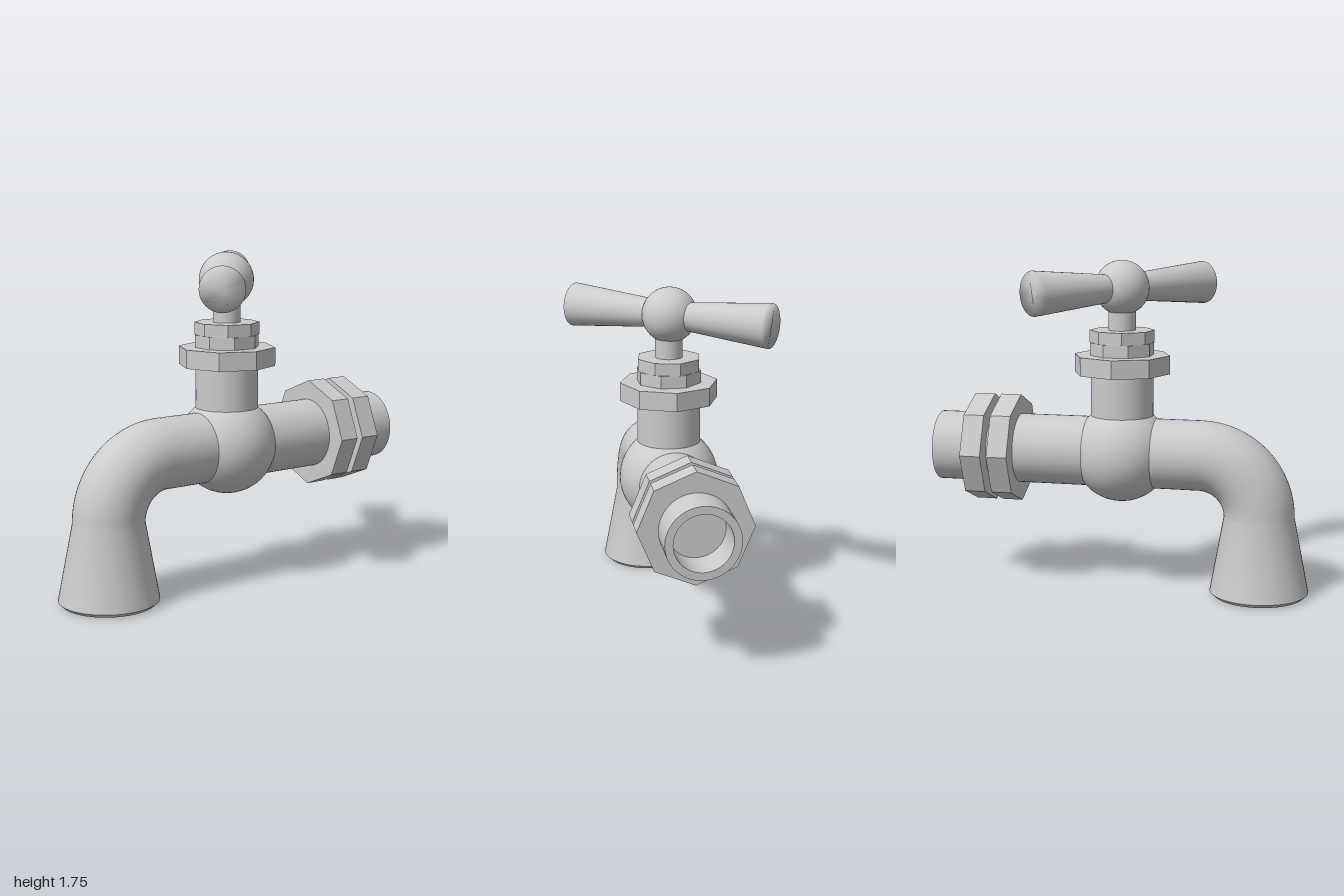
import * as THREE from 'three';
import { toCreasedNormals } from 'three/addons/utils/BufferGeometryUtils.js';

const AXIS_Y = 0.735; // height of the horizontal pipe
const PIPE_R = 0.185;

const smooth = new THREE.MeshStandardMaterial({ color: 0xcccccc });
const faceted = new THREE.MeshStandardMaterial({ color: 0xcccccc, flatShading: true });

function add(parent, name, geometry, material = smooth) {
  const mesh = new THREE.Mesh(geometry, material);
  mesh.name = name;
  parent.add(mesh);
  return mesh;
}

function lathe(points, segments = 48) {
  return new THREE.LatheGeometry(points.map(([r, y]) => new THREE.Vector2(r, y)), segments);
}

// Round sections swept in the YZ plane; angle 0 faces forward, PI/2 faces down
function sweep(stations, sides = 48) {
  const positions = [], index = [];
  for (const { y, z, angle, r } of stations) {
    for (let j = 0; j < sides; j++) {
      const a = (j / sides) * Math.PI * 2;
      positions.push(r * Math.cos(a),
        y + r * Math.sin(a) * Math.cos(angle),
        z + r * Math.sin(a) * Math.sin(angle));
    }
  }
  for (let i = 0; i < stations.length - 1; i++) {
    for (let j = 0; j < sides; j++) {
      const k = (j + 1) % sides;
      const a = i * sides + j, b = i * sides + k, c = a + sides, d = b + sides;
      index.push(a, b, c, b, d, c);
    }
  }
  const geometry = new THREE.BufferGeometry();
  geometry.setAttribute('position', new THREE.Float32BufferAttribute(positions, 3));
  geometry.setIndex(index);
  return toCreasedNormals(geometry, Math.PI / 5);
}

function spoutGeometry() {
  const bendR = 0.315, bendZ = 0.42, bendY = AXIS_Y - bendR, steps = 16;
  const bend = (t, r) => {
    const angle = t * Math.PI / 2;
    return { y: bendY + bendR * Math.cos(angle), z: bendZ + bendR * Math.sin(angle), angle, r };
  };
  const down = (y, r) => ({ y, z: bendZ + bendR + 0.005, angle: Math.PI / 2, r });
  const stations = [{ y: AXIS_Y, z: 0, angle: 0, r: PIPE_R }];
  for (let i = 0; i <= steps; i++) stations.push(bend(i / steps, PIPE_R));
  // Flared mouth, lip, then the bore running back up into the bend
  stations.push(down(0.02, 0.26), down(0, 0.238), down(0, 0.225));
  for (let i = steps; i >= 0; i--) stations.push(bend(i / steps, 0.15));
  stations.push(bend(0, 0));
  return sweep(stations);
}

export function createModel() {
  const group = new THREE.Group();
  const tap = new THREE.Group();
  tap.name = 'tap';
  tap.position.x = 0.004;
  group.add(tap);

  // Valve body and spout
  add(tap, 'valveBody', new THREE.SphereGeometry(0.26, 48, 32)).position.y = AXIS_Y;
  add(tap, 'spout', spoutGeometry());

  // Inlet pipe with an open end, pointing backwards
  const inlet = add(tap, 'inletPipe', toCreasedNormals(
    lathe([[PIPE_R, 0], [PIPE_R, 1], [0.145, 1], [0.145, 0.75], [0, 0.75]]), Math.PI / 5));
  inlet.position.y = AXIS_Y;
  inlet.rotation.x = -Math.PI / 2;

  // Pair of octagonal inlet nuts
  for (const z of [-0.61, -0.755]) {
    const nut = add(tap, 'inletNut', new THREE.CylinderGeometry(0.29, 0.29, 0.11, 8), faceted);
    nut.position.set(0, AXIS_Y, z);
    nut.rotation.x = Math.PI / 2;
  }

  // Upright neck, stacked octagonal nuts and stem: [name, radius, bottom, top, turn, sides]
  const stack = [
    ['neck', 0.165, 0.735, 1.17, 0, 48],
    ['bonnetNut', 0.256, 1.16, 1.257, 0, 8],
    ['packingNut', 0.171, 1.25, 1.322, Math.PI / 8, 8],
    ['glandNut', 0.17, 1.322, 1.387, 0.2, 8],
    ['stem', 0.072, 1.38, 1.55, 0, 32],
  ];
  for (const [name, r, bottom, top, turn, sides] of stack) {
    const part = add(tap, name, new THREE.CylinderGeometry(r, r, top - bottom, sides),
      sides === 8 ? faceted : smooth);
    part.position.y = (bottom + top) / 2;
    part.rotation.y = turn;
  }

  // Handle: ball hub with two flared arms
  const handle = new THREE.Group();
  handle.name = 'handle';
  handle.position.y = 1.607;
  handle.rotation.y = -Math.atan2(0.35, 0.45);
  group.add(handle);
  add(handle, 'hub', new THREE.SphereGeometry(0.143, 40, 28));
  for (const side of [1, -1]) {
    const arm = add(handle, 'arm', lathe([[0.064, 0], [0.114, 0.57], [0, 0.57]], 40));
    arm.rotation.z = -side * Math.PI / 2;
  }
  return group;
}
